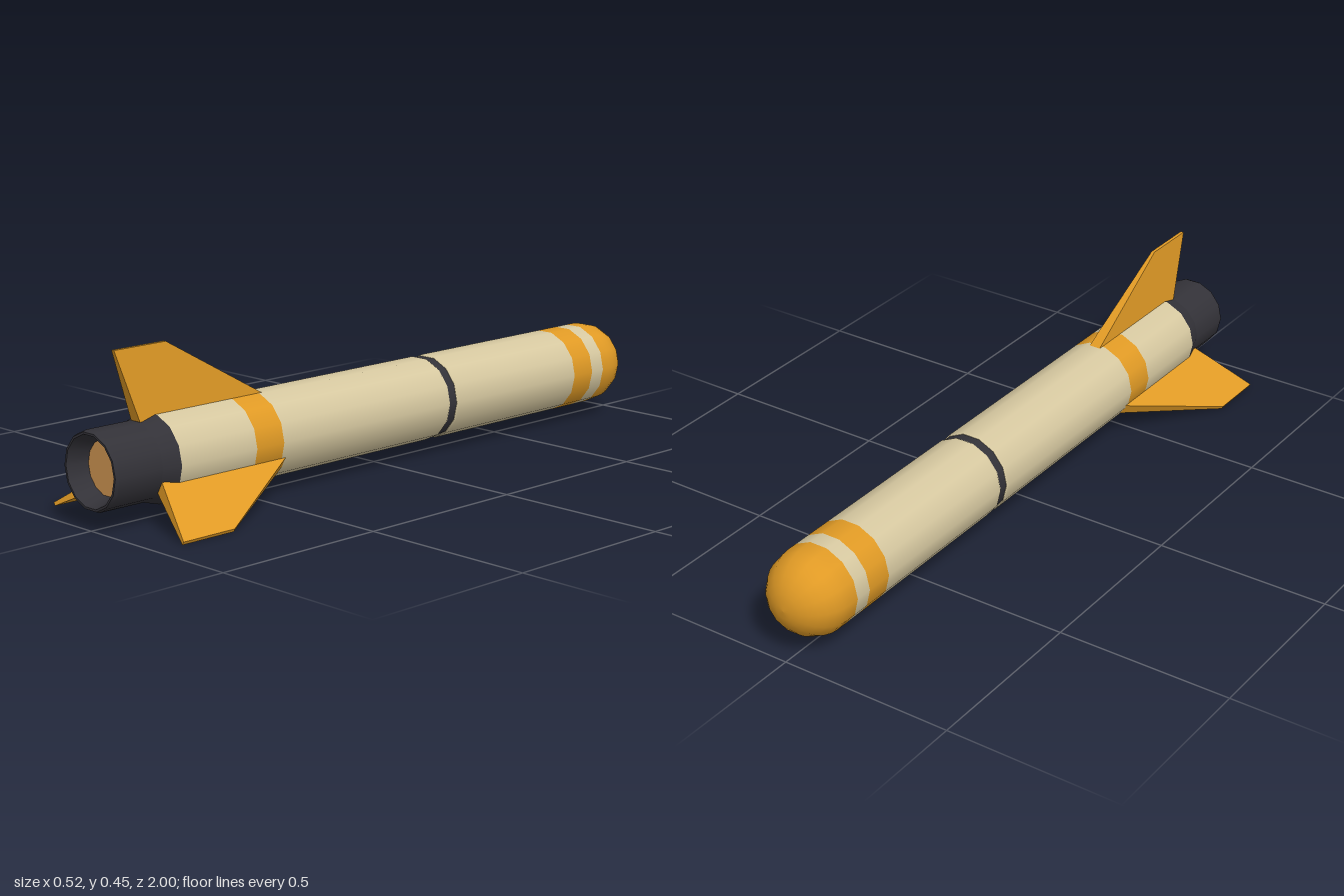
import * as THREE from 'three';
import { mergeGeometries } from 'three/addons/utils/BufferGeometryUtils.js';

const SIDES = 14;
const AXIS_Y = 0.155;
const R = 0.12;

const material = (name, color) => {
  const m = new THREE.MeshStandardMaterial({ color });
  m.name = name;
  return m;
};

// Turns a [radius, z] profile around the z axis; sharp profiles get a crease at every point
function turned(profile, sharp = true) {
  const pts = profile.map(([r, z]) => new THREE.Vector2(r, z));
  const runs = sharp ? pts.slice(1).map((p, i) => [pts[i], p]) : [pts];
  const geo = mergeGeometries(runs.map((run) => new THREE.LatheGeometry(run, SIDES, Math.PI / 2)));
  return geo.rotateX(Math.PI / 2);
}

// Swept fin along +y: a plate that thins from root to tip
function finGeometry() {
  const rootR = 0.105, tipR = 0.298;
  const ring = (y, half, front, back) => [
    [-half, y, front], [half, y, front], [half, y, back], [-half, y, back],
  ];
  const v = [...ring(rootR, 0.018, 0.415, 0.85), ...ring(tipR, 0.005, 0.75, 0.918)];
  const quads = [[0, 1, 2, 3], [4, 7, 6, 5]];
  for (let i = 0; i < 4; i++) {
    const j = (i + 1) % 4;
    quads.push([i, i + 4, j + 4, j]);
  }
  const pos = quads.flatMap(([a, b, c, d]) => [a, b, c, a, c, d].flatMap((k) => v[k]));
  const geo = new THREE.BufferGeometry();
  geo.setAttribute('position', new THREE.Float32BufferAttribute(pos, 3));
  geo.computeVertexNormals();
  return geo;
}

export function createModel() {
  const model = new THREE.Group();
  model.name = 'rocket';
  const cream = material('cream paint', 0xd6c8a0);
  const orange = material('orange paint', 0xe09a25);
  const dark = material('dark metal', 0x333238);
  const copper = material('copper glow', 0xd09552);

  const body = new THREE.Group();
  body.name = 'body';
  body.position.y = AXIS_Y;
  model.add(body);
  const add = (name, geo, mat) => {
    const mesh = new THREE.Mesh(geo, mat);
    mesh.name = name;
    body.add(mesh);
    return mesh;
  };

  // Rounded nose with a short straight collar
  const nose = [];
  for (let i = 0; i <= 8; i++) {
    const a = (i / 8) * Math.PI / 2;
    nose.push([R * Math.sin(a), -0.88 - R * Math.cos(a)]);
  }
  nose.push([R, -0.85]);
  add('nose', turned(nose, false), orange);

  // Hull sections and painted bands, flush with each other
  add('noseBand', turned([[R, -0.85], [R, -0.80]]), cream);
  add('noseStripe', turned([[R, -0.80], [R, -0.72]]), orange);
  add('rearHull', turned([[R, -0.72], [R, -0.219], [0.117, -0.214], [0.1, -0.214]]), cream);
  add('jointRing', turned([[0.116, -0.216], [0.116, -0.184]]), dark);
  add('middleHull', turned([[0.1, -0.186], [0.117, -0.186], [R, -0.181], [R, 0.45]]), cream);
  add('finStripe', turned([[R, 0.45], [R, 0.545]]), orange);
  add('frontHull', turned([[R, 0.545], [R, 0.80]]), cream);

  // Hollow exhaust nozzle
  add('nozzle', turned([
    [R, 0.80], [0.106, 0.85], [0.106, 0.99], [0.102, 1.0],
    [0.096, 1.0], [0.075, 0.945],
  ]), dark);
  add('exhaustDisc', turned([[0.075, 0.945], [0, 0.945]]), copper);

  // Three fins spaced evenly around the hull
  const fin = finGeometry();
  ['topFin', 'rightFin', 'leftFin'].forEach((name, i) => {
    add(name, fin, orange).rotation.z = (i * Math.PI * 2) / 3;
  });

  return model;
}
